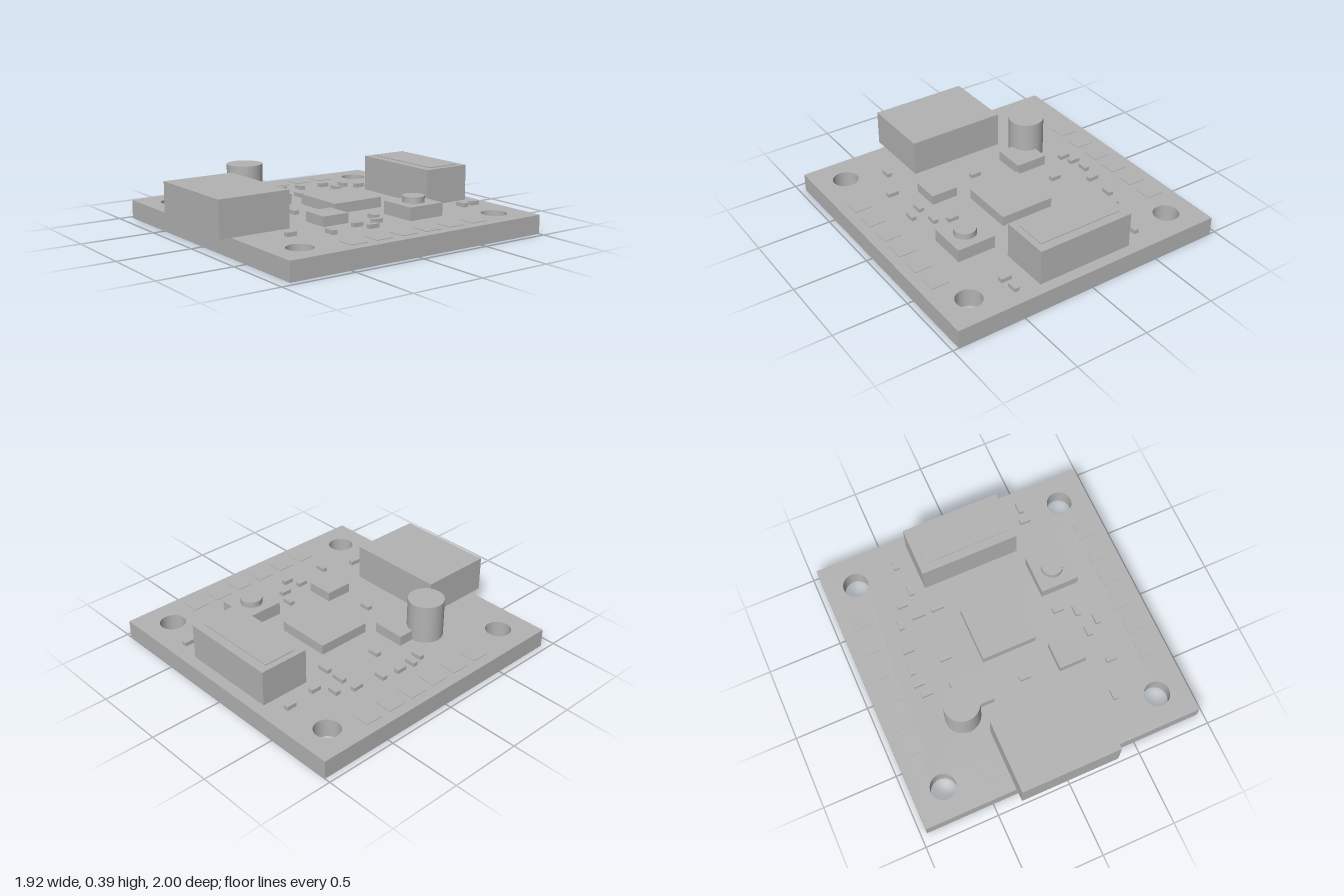
import * as THREE from 'three';

export function createModel() {
  const model = new THREE.Group();
  model.name = 'circuitBoard';
  const grey = new THREE.MeshStandardMaterial({ color: 0xb3b3b3 });
  grey.name = 'grey';
  const TOP = 0.125;

  const add = (name, geometry, x, y, z) => {
    const mesh = new THREE.Mesh(geometry, grey);
    mesh.name = name;
    mesh.position.set(x, y, z);
    model.add(mesh);
    return mesh;
  };
  // Box given by its x, y and z ranges
  const block = (name, x0, x1, y0, y1, z0, z1) =>
    add(name, new THREE.BoxGeometry(x1 - x0, y1 - y0, z1 - z0),
      (x0 + x1) / 2, (y0 + y1) / 2, (z0 + z1) / 2);
  // Upright cylinder
  const post = (name, x, z, r, y0, y1) =>
    add(name, new THREE.CylinderGeometry(r, r, y1 - y0, 32), x, (y0 + y1) / 2, z);

  // Board with four mounting holes; shape y becomes -z
  const outline = new THREE.Shape([
    new THREE.Vector2(-0.96, -0.92), new THREE.Vector2(0.96, -0.92),
    new THREE.Vector2(0.96, 1), new THREE.Vector2(-0.96, 1),
  ]);
  for (const x of [-0.755, 0.755]) {
    for (const z of [-0.795, 0.715]) {
      const hole = new THREE.Path();
      hole.absarc(x, -z, 0.085, 0, Math.PI * 2, true);
      outline.holes.push(hole);
    }
  }
  const boardGeometry = new THREE.ExtrudeGeometry(outline, {
    depth: TOP, bevelEnabled: false, curveSegments: 32,
  });
  boardGeometry.rotateX(-Math.PI / 2);
  add('board', boardGeometry, 0, 0, 0);

  // Connectors at the front and back edges
  block('frontConnector', -0.337, 0.337, TOP, 0.365, 0.505, 1);
  block('backConnector', -0.337, 0.337, TOP, 0.365, -0.925, -0.587);
  block('backConnectorPlate', -0.295, 0.295, 0.365, 0.371, -0.865, -0.645);

  // Chips
  block('mainChip', -0.19, 0.187, TOP, 0.193, -0.32, 0.057);
  block('leftRegulator', -0.455, -0.232, TOP, 0.193, 0.11, 0.332);
  block('rightRegulator', 0.243, 0.43, TOP, 0.19, 0.13, 0.318);

  // Push button and capacitor
  block('buttonBase', 0.355, 0.619, TOP, 0.212, -0.474, -0.21);
  post('buttonCap', 0.487, -0.343, 0.073, 0.212, 0.253);
  post('capacitor', -0.455, 0.335, 0.119, TOP, 0.39);

  // Small components: [x, z], long along x
  const acrossX = [
    [-0.527, -0.53], [-0.455, -0.42, 0.088], [-0.32, -0.42, 0.088], [-0.61, -0.217],
    [-0.407, -0.072], [-0.637, 0.024], [-0.614, 0.106], [0.016, 0.261],
    [0.413, -0.08], [0.588, 0.375], [0.482, -0.768],
  ];
  // Small components: [x, z], long along z
  const acrossZ = [
    [-0.457, -0.82], [-0.434, -0.605], [-0.59, -0.403], [-0.643, -0.082],
    [0.487, -0.865], [0.521, -0.022], [0.532, 0.138], [0.619, 0.083], [0.497, 0.606],
  ];
  for (const [x, z, w = 0.074] of acrossX) {
    block('smallPart', x - w / 2, x + w / 2, TOP, 0.152, z - 0.018, z + 0.018);
  }
  for (const [x, z] of acrossZ) {
    block('smallPart', x - 0.017, x + 0.017, TOP, 0.152, z - 0.036, z + 0.036);
  }

  // Rows of thin solder pads along both sides
  for (const x of [-0.83, 0.83]) {
    for (let i = 0; i < 6; i++) {
      const z = 0.39 - i * 0.187;
      block('solderPad', x - 0.06, x + 0.06, TOP, TOP + 0.004, z - 0.06, z + 0.06);
    }
  }
  return model;
}
